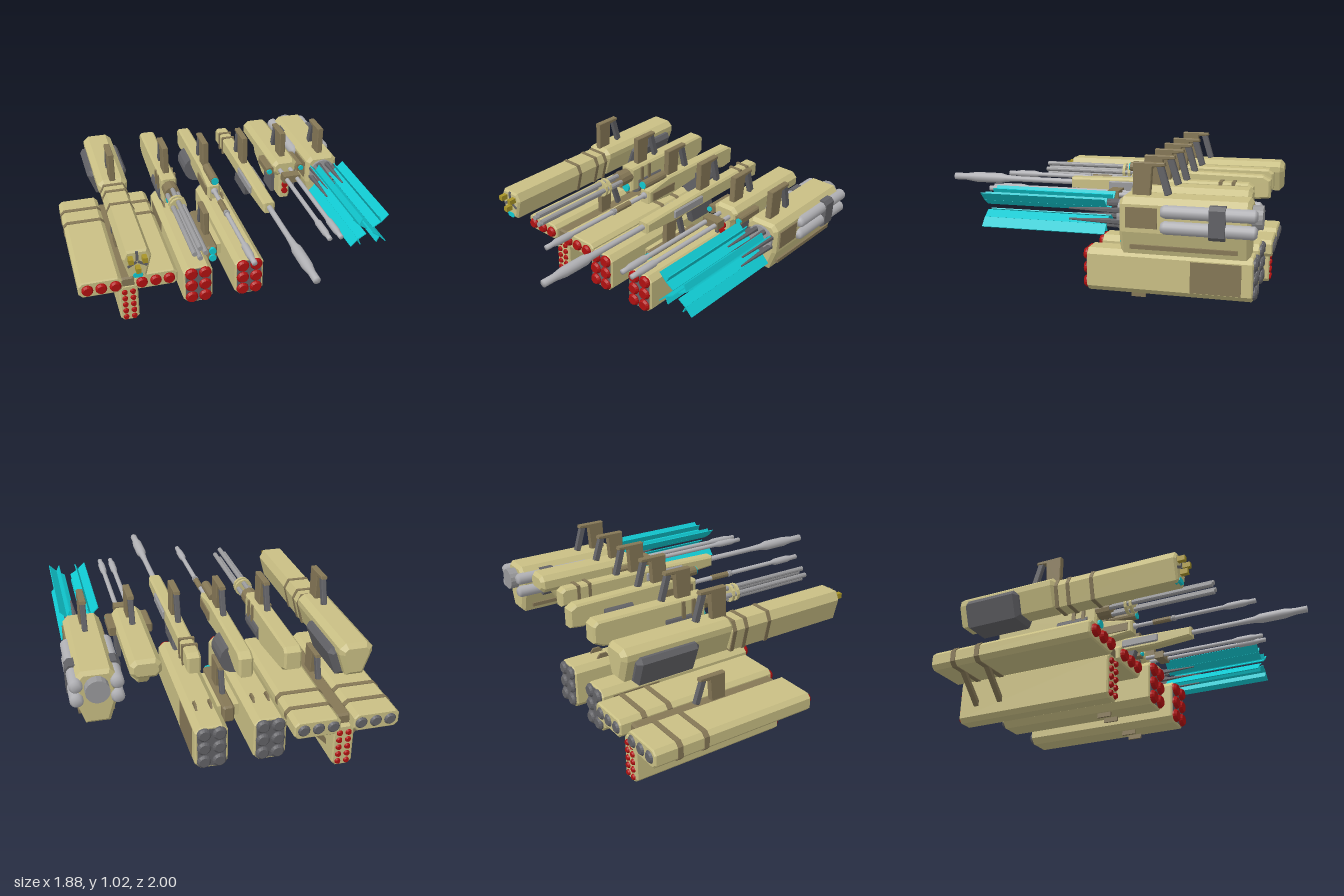
import * as THREE from 'three';

const mat = (color) => new THREE.MeshStandardMaterial({ color, flatShading: true });
const tan = mat(0xc9bf84), brown = mat(0x857756), dark = mat(0x626266), steel = mat(0x9a9a9c);
const red = mat(0xb01010), cyan = mat(0x10c8d0), gold = mat(0xa89428);
const thinCyan = mat(0x10c8d0);
thinCyan.side = THREE.DoubleSide;
const round = new THREE.MeshStandardMaterial({ color: 0xb0b0b4 });

function add(parent, name, geo, material, x = 0, y = 0, z = 0) {
  const m = new THREE.Mesh(geo, material);
  m.name = name;
  m.position.set(x, y, z);
  parent.add(m);
  return m;
}
function group(parent, name, x) {
  const g = new THREE.Group();
  g.name = name;
  g.position.x = x;
  parent.add(g);
  return g;
}
const shapeOf = (pts) => new THREE.Shape(pts.map(([a, b]) => new THREE.Vector2(a, b)));
const chamfered = (x0, x1, y0, y1, c) => [[x0 + c, y0], [x1 - c, y0], [x1, y0 + c], [x1, y1 - c],
  [x1 - c, y1], [x0 + c, y1], [x0, y1 - c], [x0, y0 + c]];

// Box given by its limits
function box(p, name, m, x0, x1, y0, y1, z0, z1) {
  return add(p, name, new THREE.BoxGeometry(x1 - x0, y1 - y0, z1 - z0), m, (x0 + x1) / 2, (y0 + y1) / 2, (z0 + z1) / 2);
}
// Front outline (x, y) drawn out from z0 to z1 with chamfered ends
function prism(p, name, m, pts, z0, z1, b = 0.012) {
  const g = new THREE.ExtrudeGeometry(shapeOf(pts), { depth: z1 - z0 - 2 * b, bevelEnabled: b > 0,
    bevelSize: b, bevelThickness: b, bevelOffset: -b, bevelSegments: 1 });
  return add(p, name, g, m, 0, 0, z0 + b);
}
// Side outline (z, y) drawn out across the width, with chamfered edges
function slab(p, name, m, pts, width, b = 0.012, x = 0) {
  const g = new THREE.ExtrudeGeometry(shapeOf(pts), { depth: width - 2 * b, bevelEnabled: b > 0,
    bevelSize: b, bevelThickness: b, bevelOffset: -b, bevelSegments: 1 });
  g.translate(0, 0, -(width - 2 * b) / 2).rotateY(-Math.PI / 2);
  return add(p, name, g, m, x);
}
// Cylinder lying along z
function rod(p, name, m, x, y, r, z0, z1, n = 14) {
  return add(p, name, new THREE.CylinderGeometry(r, r, z1 - z0, n).rotateX(Math.PI / 2), m, x, y, (z0 + z1) / 2);
}
// Turned part along z from (radius, z) points
function turned(p, name, m, x, y, pts) {
  const g = new THREE.LatheGeometry(pts.map(([r, z]) => new THREE.Vector2(r, z)), 16).rotateX(Math.PI / 2);
  return add(p, name, g, m, x, y, 0);
}
// Carrying handle: front post and top bar in one piece, slanted rear grip
function handle(p, base, top) {
  const h = group(p, 'handle', 0);
  slab(h, 'handleFrame', brown, [[-0.305, base], [-0.305, top], [-0.475, top], [-0.48, top - 0.018],
    [-0.41, top - 0.025], [-0.4, base]], 0.038, 0.004);
  slab(h, 'handleGrip', dark, [[-0.43, top - 0.015], [-0.47, top - 0.015], [-0.515, base + 0.015], [-0.48, base]], 0.03, 0.004);
}
// Rocket: red rounded nose in front, dark tube end at the back
function rocket(p, x, y, r, zf, zb, back = dark) {
  turned(p, 'rocketNose', red, x, y, [[r, zf - 0.02], [r, zf + 0.01], [r * 0.75, zf + 0.025], [0, zf + 0.025]]);
  turned(p, 'rocketTubeEnd', back, x, y, [[0, zb - 0.012], [r * 0.7, zb - 0.012], [r, zb], [r, zb + 0.03]]);
}

// Wide hexagonal beam gun
function beamGun(root) {
  const g = group(root, 'beamGun', -0.615);
  prism(g, 'body', tan, [[-0.05, 0.66], [0.05, 0.66], [0.095, 0.79], [0.095, 0.825], [0.06, 0.855],
    [-0.06, 0.855], [-0.095, 0.825], [-0.095, 0.79]], -1, -0.3, 0.025);
  prism(g, 'barrelHousing', tan, [[-0.05, 0.65], [0.05, 0.65], [0.085, 0.78], [0.06, 0.83], [-0.06, 0.83], [-0.085, 0.78]], -0.31, 0.49);
  for (const z of [-0.29, -0.21, -0.05])
    prism(g, 'barrelBand', brown, [[-0.055, 0.645], [0.055, 0.645], [0.088, 0.78], [0.063, 0.834], [-0.063, 0.834], [-0.088, 0.78]], z - 0.012, z + 0.012, 0);
  prism(g, 'powerPack', dark, [[-0.08, 0.63], [0.08, 0.63], [0.132, 0.77], [0.115, 0.8], [-0.115, 0.8], [-0.132, 0.77]], -0.93, -0.545, 0.025);
  for (const a of [90, 210, 330]) {
    const arm = add(g, 'muzzleFin', new THREE.BoxGeometry(0.06, 0.016, 0.012).translate(0.035, 0, 0), dark, 0, 0.76, 0.488);
    arm.rotation.z = (a * Math.PI) / 180;
  }
  for (const [x, y] of [[-0.04, 0.785], [0, 0.72], [0.04, 0.785]]) box(g, 'muzzleProng', gold, x - 0.014, x + 0.014, y - 0.016, y + 0.016, 0.45, 0.535);
  prism(g, 'lens', cyan, chamfered(-0.028, 0.028, 0.65, 0.682, 0.009), 0.46, 0.495, 0);
  handle(g, 0.85, 1.03);
}

// Rotary gun with four barrels and an ammunition drum
function rotaryGun(root) {
  const g = group(root, 'rotaryGun', -0.265);
  slab(g, 'body', tan, [[-0.22, 0.69], [-0.22, 0.855], [-0.93, 0.855], [-0.96, 0.83], [-0.96, 0.73], [-0.9, 0.7], [-0.55, 0.66]], 0.1);
  for (const z of [-0.38, -0.31]) box(g, 'bodyBand', brown, -0.06, 0.06, 0.74, 0.845, z - 0.012, z + 0.012);
  rod(g, 'ammoDrum', dark, 0, 0.715, 0.066, -0.5, -0.28, 18);
  rod(g, 'barrelMount', brown, 0, 0.795, 0.05, -0.23, -0.13, 12);
  for (let i = 0; i < 4; i++) {
    const a = (i * Math.PI) / 2;
    rod(g, 'barrel', steel, 0.033 * Math.cos(a), 0.795 + 0.033 * Math.sin(a), 0.015, -0.14, 0.565, 10);
  }
  for (const z of [-0.015, 0.02]) rod(g, 'barrelClamp', tan, 0, 0.795, 0.055, z - 0.009, z + 0.009, 12);
  rod(g, 'sightLens', cyan, 0, 0.71, 0.028, -0.25, -0.205);
  handle(g, 0.85, 1.03);
}

// Rifle with scope and transverse drum
function drumRifle(root) {
  const g = group(root, 'drumRifle', 0);
  slab(g, 'body', tan, [[-0.1, 0.74], [-0.1, 0.83], [-0.3, 0.865], [-0.92, 0.855], [-0.965, 0.83], [-0.965, 0.72], [-0.88, 0.71], [-0.72, 0.76], [-0.3, 0.72]], 0.08);
  rod(g, 'drum', dark, 0, 0.715, 0.087, -0.75, -0.56, 18);
  box(g, 'foreGuard', brown, -0.048, 0.048, 0.755, 0.81, -0.34, -0.13);
  rod(g, 'scope', brown, 0, 0.873, 0.028, -0.28, -0.085, 12);
  rod(g, 'scopeLens', cyan, 0, 0.873, 0.024, -0.086, -0.078);
  turned(g, 'barrel', round, 0, 0.795, [[0, -0.11], [0.022, -0.11], [0.022, -0.09], [0.014, -0.08], [0.014, 0.53], [0.022, 0.56],
    [0.022, 0.66], [0.016, 0.69], [0.016, 0.74], [0, 0.74]]);
  rod(g, 'barrelSleeve', brown, 0, 0.795, 0.018, 0.04, 0.165, 10);
  rod(g, 'barrelRing', steel, 0, 0.795, 0.02, 0.175, 0.195, 10);
  handle(g, 0.85, 1.03);
}

// Long single-barrel gun
function longGun(root) {
  const g = group(root, 'longGun', 0.265);
  slab(g, 'body', tan, [[0.21, 0.77], [0.21, 0.84], [-0.25, 0.85], [-0.86, 0.85], [-0.89, 0.83], [-0.89, 0.74], [-0.6, 0.75], [-0.05, 0.75]], 0.078);
  for (const z of [-0.775, -0.7]) box(g, 'stockBand', brown, -0.044, 0.044, 0.735, 0.855, z - 0.01, z + 0.01);
  slab(g, 'magazine', dark, [[-0.2, 0.77], [-0.42, 0.77], [-0.46, 0.65], [-0.24, 0.65]], 0.05, 0.008);
  for (const s of [-1, 1]) prism(g, 'sideCover', steel, chamfered(s * 0.043 - 0.009, s * 0.043 + 0.009, 0.775, 0.83, 0.006), -0.3, -0.03, 0.005);
  turned(g, 'barrel', round, 0, 0.807, [[0, 0.18], [0.017, 0.18], [0.017, 0.55], [0.022, 0.65], [0.032, 0.69], [0.032, 0.85],
    [0.022, 0.92], [0.022, 1], [0, 1]]);
  handle(g, 0.84, 1.03);
}

// Twin-barrel gun with a three-tube launcher beneath
function twinGun(root) {
  const g = group(root, 'twinGun', 0.527);
  prism(g, 'body', tan, chamfered(-0.085, 0.085, 0.755, 0.865, 0.03), -0.915, -0.24, 0.02);
  slab(g, 'launcherHousing', tan, [[-0.24, 0.59], [-0.24, 0.78], [-0.85, 0.78], [-0.78, 0.66], [-0.6, 0.585]], 0.075);
  for (const y of [0.73, 0.688, 0.645]) rod(g, 'launcherRocket', red, 0, y, 0.02, -0.27, -0.225);
  for (const s of [-1, 1]) {
    slab(g, 'sideWing', brown, [[-0.24, 0.775], [-0.24, 0.825], [-0.43, 0.825], [-0.43, 0.775]], 0.05, 0.008, s * 0.102);
    rod(g, 'wingLens', cyan, s * 0.11, 0.8, 0.017, -0.25, -0.23, 8);
    box(g, 'sideLeg', dark, s * 0.073 - 0.011, s * 0.073 + 0.011, 0.63, 0.78, -0.42, -0.27);
    turned(g, 'barrel', round, s * 0.035, 0.8, [[0, -0.26], [0.014, -0.26], [0.014, 0.42], [0.021, 0.45], [0.021, 0.56], [0.015, 0.59], [0.015, 0.63], [0, 0.63]]);
  }
  box(g, 'barrelClamp', brown, -0.056, 0.056, 0.775, 0.825, -0.165, -0.1);
  handle(g, 0.86, 1.03);
}

// Heavy cannon with four blade emitters and side tanks
function bladeCannon(root) {
  const g = group(root, 'bladeCannon', 0.793);
  prism(g, 'body', tan, [[-0.065, 0.545], [0.065, 0.545], [0.105, 0.67], [0.105, 0.82], [0.075, 0.855],
    [-0.075, 0.855], [-0.105, 0.82], [-0.105, 0.67]], -0.945, -0.25, 0.02);
  rod(g, 'emitterDisc', steel, 0, 0.745, 0.085, -0.27, -0.235, 20);
  rod(g, 'rearHub', steel, 0, 0.765, 0.065, -1, -0.93, 16);
  prism(g, 'frontLens', cyan, chamfered(-0.03, 0.03, 0.582, 0.617, 0.01), -0.27, -0.24, 0);
  for (const s of [-1, 1]) {
    box(g, 'sidePanel', brown, s * 0.105 - 0.008, s * 0.105 + 0.008, 0.695, 0.805, -0.46, -0.29);
    box(g, 'sideSlot', brown, s * 0.083 - 0.014, s * 0.083 + 0.014, 0.577, 0.6, -0.88, -0.31);
    for (const y of [0.705, 0.79])
      turned(g, 'sideTank', round, s * 0.107, y, [[0, -0.98], [0.024, -0.98], [0.036, -0.965], [0.036, -0.5], [0.026, -0.48], [0, -0.475]]);
    prism(g, 'tankClamp', dark, chamfered(s * 0.11 - 0.036, s * 0.11 + 0.036, 0.655, 0.835, 0.02), -0.82, -0.735, 0);
    // Folded thin blades, mirrored above and below, each held by dark prongs
    for (const t of [-1, 1]) {
      const q = [[0.115, 0.095], [0.07, 0.05], [0.02, 0.018], [0.052, 0.09]].map(([x, y]) => [s * x, 0.745 + t * y]);
      [[0, 1], [1, 2], [1, 3]].forEach(([i, j]) => {
        const [x0, y0] = q[i], [x1, y1] = q[j];
        const dx = x1 - x0, dy = y1 - y0, L = Math.hypot(dx, dy);
        const blade = add(g, 'blade', new THREE.BoxGeometry(L, 0.006, 0.705), thinCyan, (x0 + x1) / 2, (y0 + y1) / 2, 0.178);
        blade.rotation.z = Math.atan2(dy, dx);
      });
      for (const [x, y] of [[0.028, 0.058], [0.072, 0.03]])
        add(g, 'prong', new THREE.CylinderGeometry(0.005, 0.018, 0.29, 6).rotateX(Math.PI / 2), dark, s * x, 0.745 + t * y, -0.11);
    }
  }
  handle(g, 0.85, 1.03);
}

// T-shaped launcher: two flat pods and one upright pod
function tripleLauncher(root) {
  const g = group(root, 'tripleLauncher', -0.615);
  for (const s of [-1, 1]) {
    const a = s * 0.04, b = s * 0.32, x0 = Math.min(a, b), x1 = Math.max(a, b);
    prism(g, 'flatPod', tan, chamfered(x0, x1, 0.26, 0.372, 0.025), -0.965, 0.085, 0.008);
    for (const x of [0.085, 0.175, 0.263]) rocket(g, s * x, 0.316, 0.037, 0.085, -0.965);
    for (const z of [-0.81, -0.645]) {
      prism(g, 'podStrap', brown, chamfered(x0 - 0.004, x1 + 0.004, 0.256, 0.376, 0.026), z - 0.016, z + 0.016, 0);
      prism(g, 'strut', brown, [[s * 0.05, 0.12], [s * 0.05, 0.085], [s * 0.225, 0.262], [s * 0.195, 0.262]].slice(0)
        , z - 0.016, z + 0.016, 0);
    }
  }
  prism(g, 'bracket', brown, chamfered(-0.05, 0.05, 0.265, 0.345, 0.015), -0.9, 0.06);
  prism(g, 'uprightPod', tan, chamfered(-0.062, 0.062, 0.012, 0.285, 0.025), -0.93, 0.065, 0.008);
  for (const x of [-0.027, 0.027]) for (let i = 0; i < 5; i++) rocket(g, x, 0.043 + i * 0.049, 0.019, 0.055, -0.93, red);
  handle(g, 0.34, 0.505);
}

// Twin six-tube launcher
function boxLauncher(root) {
  const g = group(root, 'boxLauncher', 0);
  for (const s of [-1, 1]) {
    const c = s * 0.172;
    prism(g, 'pod', tan, chamfered(c - 0.097, c + 0.097, 0.118, 0.392, 0.035), -0.905, 0.13, 0.008);
    for (const [z0, z1] of [[-0.909, -0.89], [0.12, 0.133]])
      prism(g, 'podFace', dark, chamfered(c - 0.083, c + 0.083, 0.132, 0.378, 0.03), z0, z1, 0);
    for (const x of [-0.045, 0.045]) {
      for (let i = 0; i < 3; i++) rocket(g, c + x, 0.168 + i * 0.089, 0.041, 0.13, -0.915);
      slab(g, 'topFin', brown, [[-0.64, 0.385], [-0.665, 0.42], [-0.71, 0.42], [-0.735, 0.385]], 0.012, 0, c + x);
      box(g, 'bottomFin', brown, c + x - 0.006, c + x + 0.006, 0.09, 0.125, -0.24, -0.15);
    }
    box(g, 'sidePanel', brown, s * 0.268 - 0.003, s * 0.268 + 0.003, 0.155, 0.35, -0.835, -0.525);
  }
  box(g, 'crossBracket', tan, -0.085, 0.085, 0.24, 0.315, -0.6, -0.2);
  prism(g, 'centreHousing', brown, chamfered(-0.036, 0.036, 0.225, 0.335, 0.012), -0.65, -0.15);
  for (const y of [0.25, 0.305]) rod(g, 'sightLens', cyan, 0, y, 0.025, -0.16, -0.135);
  handle(g, 0.325, 0.505);
}

export function createModel() {
  const root = new THREE.Group();
  root.name = 'weaponSet';
  [beamGun, rotaryGun, drumRifle, longGun, twinGun, bladeCannon, tripleLauncher, boxLauncher].forEach((build) => build(root));
  return root;
}
